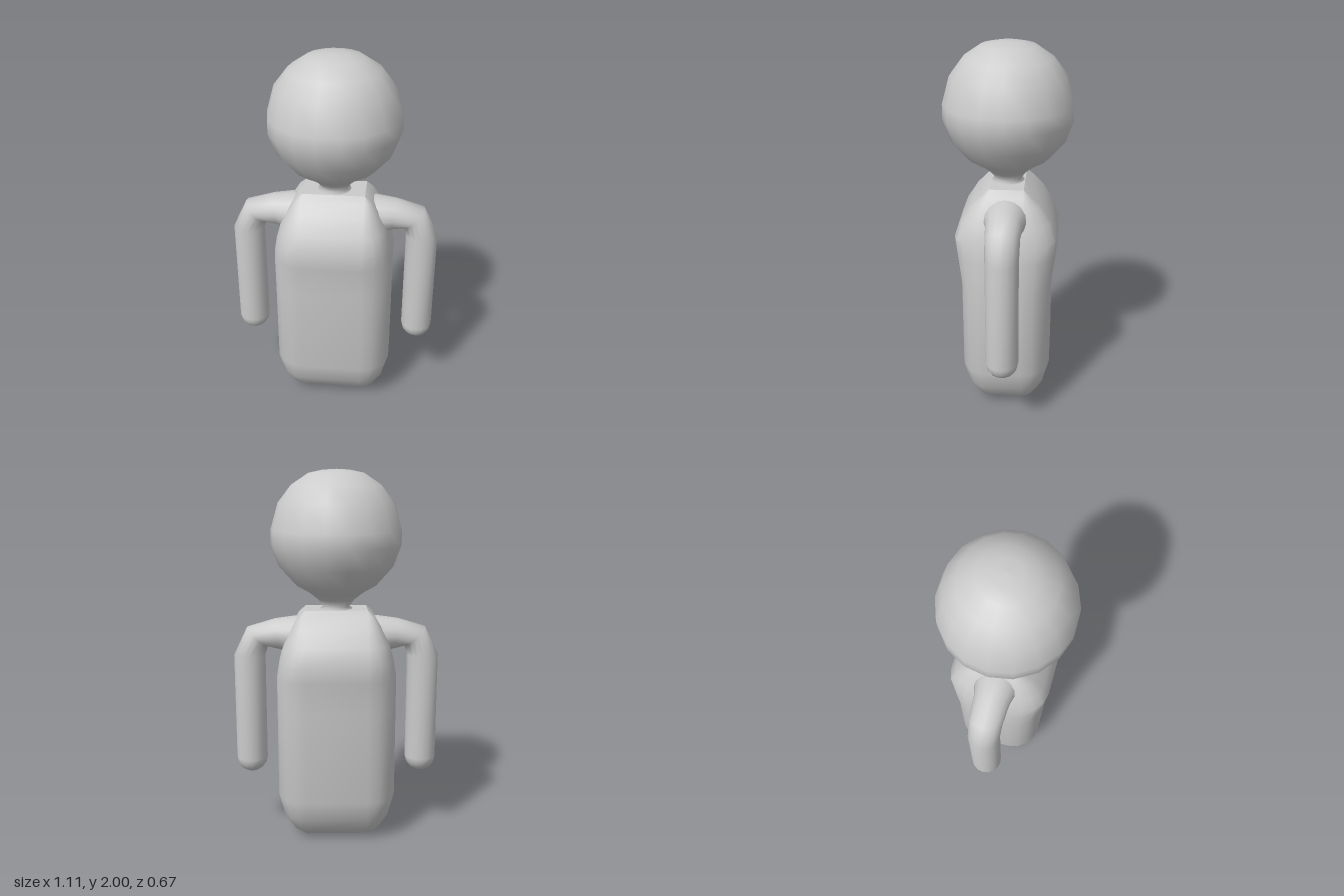
import * as THREE from 'three';
import { mergeVertices, toCreasedNormals } from 'three/addons/utils/BufferGeometryUtils.js';

const material = new THREE.MeshStandardMaterial({ color: 0xcccccc });

// Skin a list of closed rings (counter-clockwise about the sweep direction) and cap both ends.
function loft(rings, crease) {
  const n = rings[0].length;
  const points = rings.flat();
  const index = [];
  for (let i = 0; i < rings.length - 1; i++) {
    for (let j = 0; j < n; j++) {
      const a = i * n + j, b = i * n + (j + 1) % n;
      index.push(a, b, b + n, a, b + n, a + n);
    }
  }
  const last = (rings.length - 1) * n;
  for (let j = 1; j < n - 1; j++) {
    index.push(0, j + 1, j, last, last + j, last + j + 1);
  }
  const geometry = new THREE.BufferGeometry().setFromPoints(points);
  geometry.setIndex(index);
  const welded = mergeVertices(geometry, 1e-4);
  welded.computeVertexNormals();
  return crease ? toCreasedNormals(welded, crease) : welded;
}

function addMesh(parent, name, geometry) {
  const mesh = new THREE.Mesh(geometry, material);
  mesh.name = name;
  parent.add(mesh);
  return mesh;
}

// Rounded-box section: a rectangular core grown outwards by rx and rz with round corners.
function torsoRing([y, halfWidth, halfDepth]) {
  const coreX = 0.165, coreZ = 0.09, steps = 4;
  const ring = [];
  for (let corner = 0; corner < 4; corner++) {
    const sx = corner === 0 || corner === 3 ? 1 : -1;
    const sz = corner < 2 ? -1 : 1;
    for (let k = 0; k <= steps; k++) {
      const t = (corner + k / steps) * Math.PI / 2;
      ring.push(new THREE.Vector3(
        sx * coreX + (halfWidth - coreX) * Math.cos(t), y,
        sz * coreZ - (halfDepth - coreZ) * Math.sin(t)));
    }
  }
  return ring;
}

// Arm section spanning an inner and an outer point, with its own half depth in z.
function armRing([innerX, innerY, outerX, outerY, depth], side) {
  const ring = [];
  for (let k = 0; k < 16; k++) {
    const t = k / 16 * Math.PI * 2;
    const f = (1 + Math.cos(t)) / 2;
    ring.push(new THREE.Vector3(
      side * THREE.MathUtils.lerp(innerX, outerX, f),
      THREE.MathUtils.lerp(innerY, outerY, f),
      side * depth * Math.sin(t)));
  }
  return ring;
}

function createArm(side) {
  // Shoulder flare, bent elbow and straight forearm
  const sections = [
    [0.16, 0.99, 0.14, 1.235, 0.13],
    [0.25, 1.03, 0.22, 1.235, 0.115],
    [0.30, 1.05, 0.33, 1.22, 0.095],
    [0.37, 1.07, 0.48, 1.175, 0.088],
    [0.385, 1.02, 0.555, 1.02, 0.085],
    [0.385, 0.435, 0.555, 0.435, 0.085],
  ];
  // Round hand end
  for (let i = 1; i <= 4; i++) {
    const a = i / 4 * Math.PI / 2;
    const r = Math.max(0.085 * Math.cos(a), 0.004);
    const y = 0.435 - 0.083 * Math.sin(a);
    sections.push([0.47 - r, y, 0.47 + r, y, r]);
  }
  return loft(sections.map((s) => armRing(s, side)));
}

export function createModel() {
  const model = new THREE.Group();
  model.name = 'figure';

  // Torso: height, half width, half depth
  const torso = [
    [0, 0.165, 0.09], [0.05, 0.235, 0.155], [0.135, 0.29, 0.21], [0.245, 0.32, 0.24],
    [0.74, 0.32, 0.24], [0.92, 0.32, 0.262], [1.01, 0.305, 0.272], [1.1, 0.28, 0.238],
    [1.19, 0.235, 0.18], [1.245, 0.2, 0.125], [1.275, 0.165, 0.09],
  ];
  addMesh(model, 'torso', loft(torso.map(torsoRing), 0.6));

  // Head and pinched neck, turned in one profile
  const profile = [
    [0.1, 1.268], [0.07, 1.285], [0.1, 1.325], [0.15, 1.365], [0.22, 1.405], [0.305, 1.5],
    [0.345, 1.61], [0.345, 1.69], [0.305, 1.83], [0.235, 1.92], [0.145, 1.98], [0.07, 1.996], [0, 2],
  ].map(([r, y]) => new THREE.Vector2(r, y));
  const head = addMesh(model, 'head', new THREE.LatheGeometry(profile, 18, Math.PI / 2));
  head.scale.z = 0.98;

  // Arms
  addMesh(model, 'leftArm', createArm(1));
  addMesh(model, 'rightArm', createArm(-1));

  return model;
}
